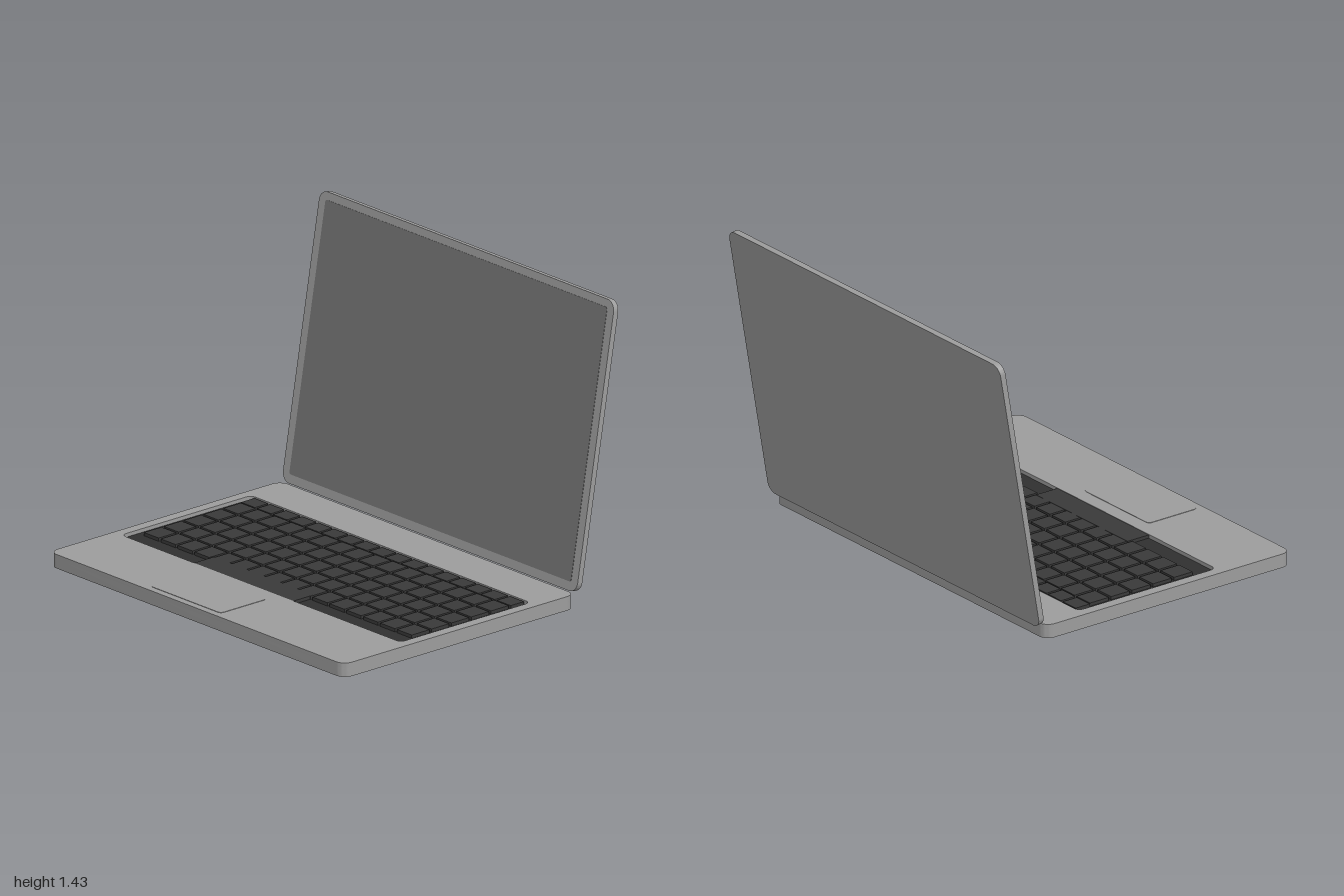
import * as THREE from 'three';
import { toCreasedNormals } from 'three/addons/utils/BufferGeometryUtils.js';

const material = (name, color) => {
  const m = new THREE.MeshStandardMaterial({ color });
  m.name = name;
  return m;
};

// Rounded rectangle outline centred on (cx, cy)
function roundRect(Type, w, h, r, cx = 0, cy = 0) {
  const p = new Type();
  const x = cx - w / 2, y = cy - h / 2;
  p.moveTo(x + r, y);
  p.lineTo(x + w - r, y);
  p.absarc(x + w - r, y + r, r, -Math.PI / 2, 0);
  p.lineTo(x + w, y + h - r);
  p.absarc(x + w - r, y + h - r, r, 0, Math.PI / 2);
  p.lineTo(x + r, y + h);
  p.absarc(x + r, y + h - r, r, Math.PI / 2, Math.PI);
  p.lineTo(x, y + r);
  p.absarc(x + r, y + r, r, Math.PI, Math.PI * 1.5);
  return p;
}

function extrude(shape, depth) {
  const g = new THREE.ExtrudeGeometry(shape, { depth, bevelEnabled: false, curveSegments: 6 });
  return toCreasedNormals(g, 0.6);
}

export function createModel() {
  const model = new THREE.Group();
  model.name = 'laptop';

  const metal = material('grey metal', 0x9c9c9c);
  const glass = material('screen grey', 0x767676);
  const keyColor = material('key charcoal', 0x393939);
  const wellColor = material('keyboard well', 0x303030);
  const rubber = material('black rubber', 0x222222);

  function add(parent, name, geometry, mat, x = 0, y = 0, z = 0) {
    const mesh = new THREE.Mesh(geometry, mat);
    mesh.name = name;
    mesh.position.set(x, y, z);
    parent.add(mesh);
    return mesh;
  }
  // Horizontal slab: the outline lies in x and -z, thickness goes up from y
  const slab = (name, shape, height, mat, x, y, z) =>
    add(model, name, extrude(shape, height).rotateX(-Math.PI / 2), mat, x, y, z);

  // Base: solid lower shell and a deck with the keyboard opening
  const baseZ = 0.135, wellZ = 0.053;
  slab('baseShell', roundRect(THREE.Shape, 2, 1.4, 0.05), 0.045, metal, 0, 0.018, baseZ);
  const deck = roundRect(THREE.Shape, 2, 1.4, 0.05);
  deck.holes.push(roundRect(THREE.Path, 1.895, 0.785, 0.03, 0, baseZ - wellZ));
  slab('deck', deck, 0.022, metal, 0, 0.063, baseZ);
  slab('keyboardWell', roundRect(THREE.Shape, 1.895, 0.785, 0.03), 0.004, wellColor, 0, 0.063, wellZ);
  slab('trackpad', roundRect(THREE.Shape, 0.48, 0.28, 0.02), 0.002, metal, -0.115, 0.085, 0.66);

  // Keys: a row of 17 short keys, then five rows of 16
  const keys = new THREE.Group();
  keys.name = 'keys';
  model.add(keys);
  const keyHeight = 0.016, keyY = 0.067 + keyHeight / 2;
  function keyRow(name, count, pitch, width, depth, z) {
    const geometry = new THREE.BoxGeometry(width, keyHeight, depth);
    for (let i = 0; i < count; i++) {
      add(keys, name, geometry, keyColor, (i - (count - 1) / 2) * pitch, keyY, z);
    }
  }
  keyRow('functionKey', 17, 0.1085, 0.095, 0.08, -0.29);
  for (let row = 0; row < 5; row++) keyRow('key', 16, 0.1145, 0.1, 0.106, -0.19 + row * 0.12);
  add(keys, 'spaceBar', new THREE.BoxGeometry(0.675, keyHeight, 0.122), keyColor, -0.118, keyY + 0.001, 0.383);

  // Feet
  const footGeometry = new THREE.CylinderGeometry(0.05, 0.05, 0.02, 24);
  for (const x of [-0.85, 0.85]) {
    for (const z of [0.705, -0.435]) add(model, 'foot', footGeometry, rubber, x, 0.01, z);
  }

  // Lid leaning back, with the screen on its front
  const lid = new THREE.Group();
  lid.name = 'lid';
  lid.position.set(0, 0.756, -0.702);
  lid.rotation.x = -0.172;
  model.add(lid);
  add(lid, 'lidShell', extrude(roundRect(THREE.Shape, 2, 1.365, 0.05), 0.028), metal, 0, 0, -0.014);
  add(lid, 'screen', extrude(roundRect(THREE.Shape, 1.912, 1.285, 0.012), 0.003), glass, 0, 0.003, 0.0125);

  return model;
}
